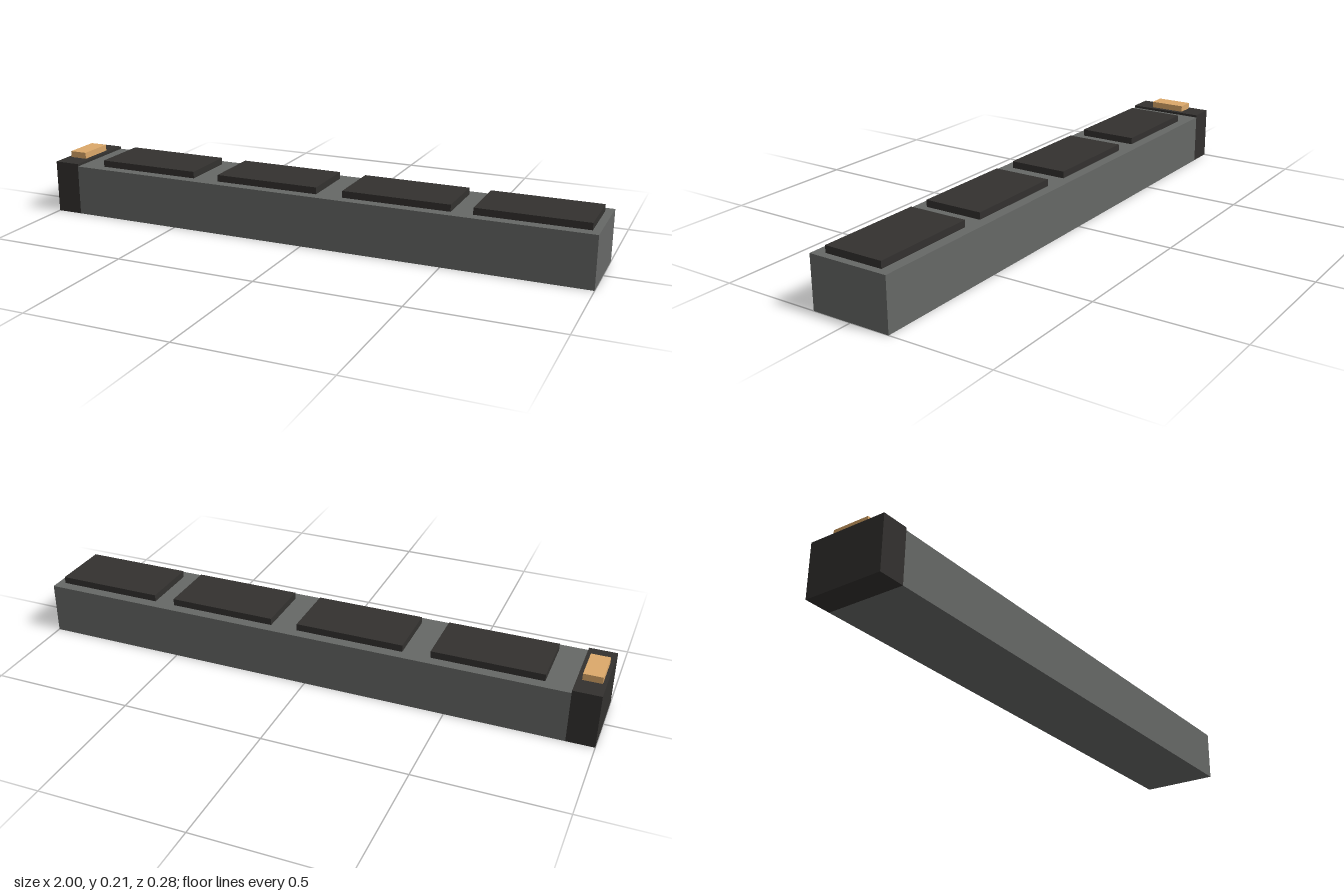
import * as THREE from 'three';

const material = (color) => new THREE.MeshStandardMaterial({ color, flatShading: true });

// Box given by its x range, y range and full depth, centred on z = 0
function block(name, x0, x1, y0, y1, depth, mat) {
  const mesh = new THREE.Mesh(new THREE.BoxGeometry(x1 - x0, y1 - y0, depth), mat);
  mesh.position.set((x0 + x1) / 2, (y0 + y1) / 2, 0);
  mesh.name = name;
  return mesh;
}

export function createModel() {
  const group = new THREE.Group();
  group.name = 'paddedBench';
  const stone = material(0x666866);
  const dark = material(0x33312f);
  const tan = material(0xdca96a);

  const bodyTop = 0.182, capTop = 0.191, depth = 0.285, capEnd = -0.905;

  // Long body and the slightly taller end cap
  group.add(block('body', capEnd, 1, 0, bodyTop, depth, stone));
  group.add(block('endCap', -1, capEnd, 0, capTop, depth, dark));

  // Small raised plate on the end cap
  group.add(block('capPlate', -0.987, -0.922, capTop, 0.214, 0.134, tan));

  // Four raised pads along the top
  const padWidth = 0.38;
  [-0.624, -0.147, 0.329, 0.784].forEach((x, i) => {
    group.add(block(`pad${i + 1}`, x - padWidth / 2, x + padWidth / 2, bodyTop, 0.206, 0.21, dark));
  });

  return group;
}
